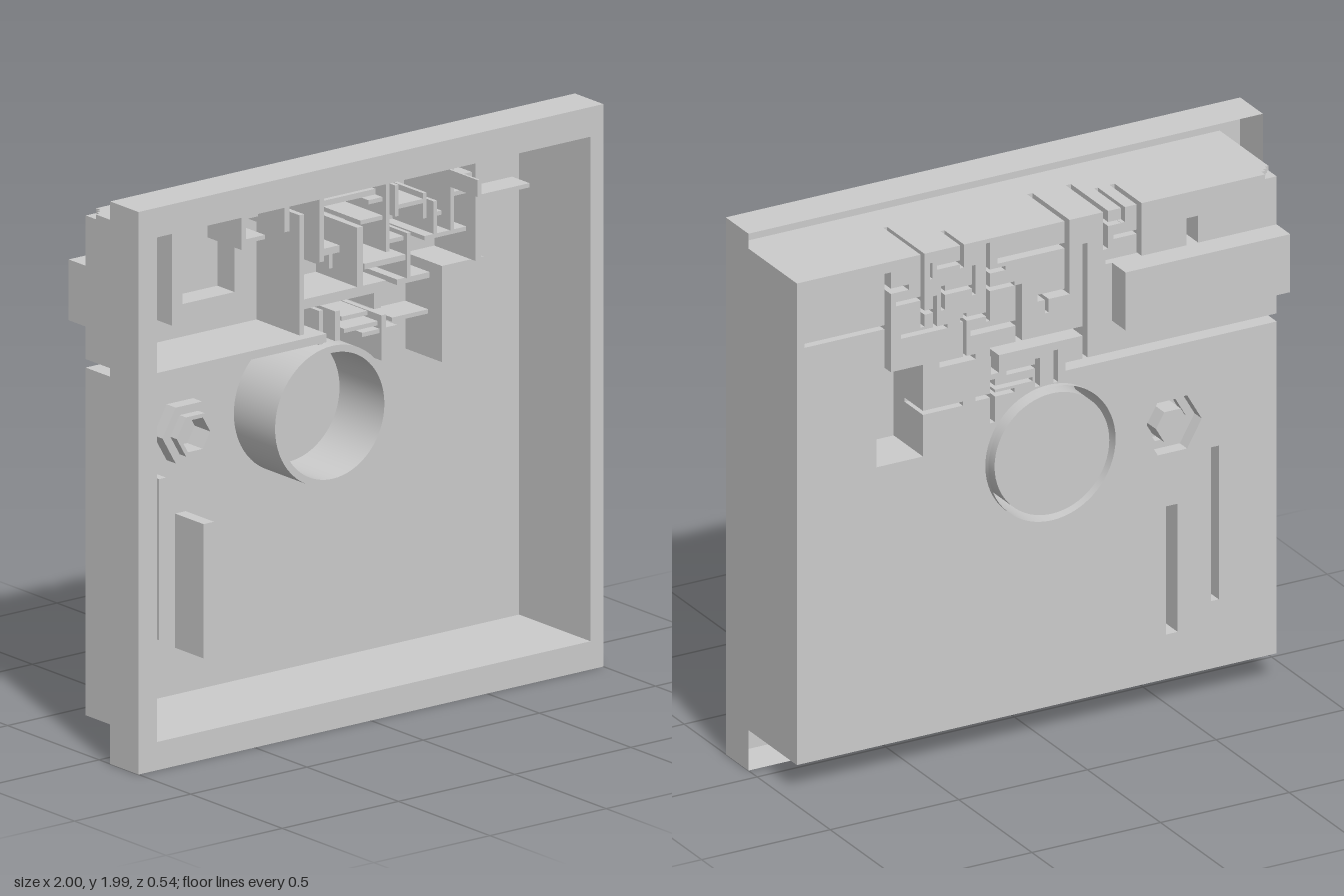
import * as THREE from 'three';

const MAT = new THREE.MeshStandardMaterial({ color: 0xcccccc, side: THREE.DoubleSide });
const X0 = -0.92, X1 = 0.945, Y0 = 0.1, Y1 = 1.885;   // tray outline
const BACK = -0.175, FRONT = 0.215, RIM_BACK = 0.06;
const RING = { x: -0.035, y: 1.045, outer: 0.2475, inner: 0.223, half: 0.25 };
const HEX = { x: -0.515, y: 1.035, half: 0.12 };

// Channels pressed out of the back plate, each reaching depth z
const channels = [];
const press = (x0, x1, y0, y1, z) => channels.push({ x0, x1, y0, y1, z });
const across = (y, x0, x1, z = 0.03, t = 0.015) => press(x0, x1, y - t / 2, y + t / 2, z);
const upright = (x, y0, y1, z = 0.03, t = 0.015) => press(x - t / 2, x + t / 2, y0, y1, z);

function pressShelves() {
  across(1.345, X0, -0.1, 0.1, 0.03);
  across(1.4625, -0.165, 0.195, 0.05, 0.035);
  across(1.795, -0.095, 0.165, 0.03, 0.02);
  across(1.6225, -0.095, 0.01, 0.03, 0.025);
  upright(-0.175, 1.36, 1.785, 0.06, 0.02);
  upright(-0.105, 1.61, Y1, 0.08, 0.02);
  upright(-0.0265, 1.56, 1.61);
  upright(0.175, 1.38, 1.445, 0.03, 0.03);
}

function pressLeftCluster() {
  upright(-0.385, 1.69, Y1, 0.01, 0.02);
  upright(-0.3225, 1.83, Y1, 0.01);
  upright(-0.255, 1.745, Y1, 0.08, 0.02);
  across(1.6975, -0.375, -0.255, -0.04);
  across(1.784, -0.375, -0.285, -0.04);
  across(1.8365, -0.315, -0.265, -0.04);
}

function pressRightCluster() {
  upright(0.0825, 1.48, 1.69, 0.05, 0.025);
  upright(0.2025, 1.58, 1.87, 0.05);
  upright(0.2575, 1.69, 1.8);
  upright(0.2925, 1.47, 1.63, 0.05);
  upright(0.3025, 1.8, Y1, -0.04);
  upright(0.3775, 1.66, 1.75);
  upright(0.4075, 1.6, 1.72, 0.05);
  upright(0.422, 1.785, 1.845, 0.268, 0.01);
  upright(0.4565, 1.615, Y1, 0.08);
  upright(0.5925, 1.475, 1.845, 0.05, 0.025);
  across(1.46, 0.25, 0.39, 0.04, 0.02);
  across(1.55, 0.095, 0.27, 0.06, 0.02);
  across(1.5975, 0.36, 0.54, 0.05);
  across(1.6075, 0.21, 0.31);
  across(1.6475, 0.605, 0.915, -0.08);
  across(1.6665, 0.415, 0.45);
  across(1.6975, 0.1, 0.195);
  across(1.7225, 0.265, 0.385);
  across(1.7225, 0.463, 0.56);
  across(1.7625, 0.135, 0.195);
  across(1.775, 0.51, 0.58, 0.03, 0.02);
  across(1.8225, 0.31, 0.4);
}

// Fingers standing round the top of the collar
function pressFingers() {
  upright(-0.061, 1.295, 1.415, 0.02, 0.018);
  upright(0.01, 1.295, 1.4, 0.02, 0.02);
  upright(0.185, 1.2, 1.36, 0.05, 0.02);
  across(1.3025, 0.1, 0.25, 0.04);
  across(1.3275, 0.03, 0.175);
  across(1.3725, 0.02, 0.13);
  across(1.2965, 0.3, 0.455, -0.05);
}

function pressPockets() {
  press(X0, -0.28, 1.475, 1.69, -0.268);                            // box pocket, pressed backward
  press(0.455, 0.635, 1.135, 1.475, 0.025);                         // tall recess
  upright(-0.68, 0.35, 0.92, -0.06, 0.03);                          // lower slats
  upright(-0.5125, 0.265, 0.74, -0.02, 0.045);
  upright(-0.5925, 1.69, 1.79, -0.09, 0.045);                       // bridge bar ends
  upright(-0.5925, 1.44, 1.475, -0.09, 0.045);
  for (let i = 0; i < 3; i++) {                                     // stepped corner notch
    press(X0 + i * 0.015, X0 + (i + 1) * 0.015, 1.868, Y1, -0.12 - i * 0.015);
  }
}

function add(parent, name, geometry, z = 0) {
  const mesh = new THREE.Mesh(geometry, MAT);
  mesh.name = name;
  mesh.position.z = z;
  parent.add(mesh);
  return mesh;
}

const inSquare = (x, y, s) => Math.abs(x - s.x) < s.half && Math.abs(y - s.y) < s.half;

// Stepped sheet: one level per grid cell, with walls wherever the level changes
function steppedTray() {
  const gridLines = (axis, lo, hi) => {
    const values = [lo, hi];
    for (const c of channels) values.push(c[axis + '0'], c[axis + '1']);
    for (const s of [RING, HEX]) values.push(s[axis] - s.half, s[axis] + s.half);
    return [...new Set(values.map(v => +v.toFixed(4)))].sort((p, q) => p - q);
  };
  const xs = gridLines('x', X0, X1), ys = gridLines('y', Y0, Y1);
  const level = (i, j) => {
    if (i < 0 || j < 0 || i >= xs.length - 1 || j >= ys.length - 1) return FRONT;
    const x = (xs[i] + xs[i + 1]) / 2, y = (ys[j] + ys[j + 1]) / 2;
    const hits = channels.filter(c => x > c.x0 && x < c.x1 && y > c.y0 && y < c.y1);
    return hits.length ? Math.max(...hits.map(c => c.z)) : BACK;
  };
  const pos = [];
  const quad = (a, b, c, d) => pos.push(...a, ...b, ...c, ...a, ...c, ...d);
  for (let i = 0; i < xs.length; i++) {
    for (let j = 0; j < ys.length; j++) {
      const x = xs[i], y = ys[j], xe = xs[i + 1], ye = ys[j + 1];
      const z = level(i, j), zl = level(i - 1, j), zd = level(i, j - 1);
      if (ye !== undefined && z !== zl) quad([x, y, z], [x, ye, z], [x, ye, zl], [x, y, zl]);
      if (xe !== undefined && z !== zd) quad([x, y, z], [xe, y, z], [xe, y, zd], [x, y, zd]);
      if (xe === undefined || ye === undefined) continue;
      const mx = (x + xe) / 2, my = (y + ye) / 2;
      if (z === BACK && (inSquare(mx, my, RING) || inSquare(mx, my, HEX))) continue;
      quad([x, y, z], [xe, y, z], [xe, ye, z], [x, ye, z]);
    }
  }
  const g = new THREE.BufferGeometry();
  g.setAttribute('position', new THREE.Float32BufferAttribute(pos, 3));
  g.computeVertexNormals();
  return g;
}

const corners = points => points.map(p => new THREE.Vector2(...p));
const rect = (x0, x1, y0, y1) => corners([[x0, y0], [x1, y0], [x1, y1], [x0, y1]]);
const polygon = (s, r, n) => Array.from({ length: n }, (_, i) => {
  const a = i / n * Math.PI * 2;
  return new THREE.Vector2(s.x + r * Math.cos(a), s.y + r * Math.sin(a));
});

// Flat sheet with an optional hole
function sheet(points, hole) {
  const shape = new THREE.Shape(points);
  if (hole) shape.holes.push(new THREE.Path(hole));
  return new THREE.ShapeGeometry(shape);
}

// Open prism wall between two depths, faceted when it has few sides
function wall(parent, name, s, r, n, za, zb) {
  let g = new THREE.CylinderGeometry(r, r, Math.abs(zb - za), n, 1, true);
  g.rotateX(Math.PI / 2).rotateZ(Math.PI / 2);
  if (n < 12) {
    g = g.toNonIndexed();
    g.computeVertexNormals();
  }
  add(parent, name, g).position.set(s.x, s.y, (za + zb) / 2);
}

function group(parent, name) {
  const g = new THREE.Group();
  g.name = name;
  parent.add(g);
  return g;
}

export function createModel() {
  const model = new THREE.Group();
  model.name = 'panelTray';
  channels.length = 0;
  for (const part of [pressShelves, pressLeftCluster, pressRightCluster, pressFingers, pressPockets]) part();
  add(model, 'channelledTray', steppedTray());

  // Front rim, open at the back
  add(model, 'rimFace', sheet(rect(-1, 1, 0, 1.99), rect(X0, X1, Y0, Y1)), FRONT);
  const depth = FRONT - RIM_BACK, zMid = (FRONT + RIM_BACK) / 2;
  for (const s of [-1, 1]) {
    const side = add(model, 'rimSide', new THREE.PlaneGeometry(depth, 1.99));
    side.position.set(s, 0.995, zMid);
    side.rotation.y = s * Math.PI / 2;
    const edge = add(model, 'rimEdge', new THREE.PlaneGeometry(2, depth));
    edge.position.set(0, 0.995 + s * 0.995, zMid);
    edge.rotation.x = -s * Math.PI / 2;
  }

  // Circular collar: double wall capped in front, raised behind
  const collar = group(model, 'circularCollar');
  const h = RING.half, top = RING.y + h;
  const surround = rect(RING.x - h, RING.x + h, RING.y - h, top);
  surround.splice(3, 0, ...corners([[0.195, top], [0.195, 1.2], [0.175, 1.2], [0.175, top]]));
  const outer = polygon(RING, RING.outer, 64), inner = polygon(RING, RING.inner, 64);
  add(collar, 'collarSurround', sheet(surround, outer), BACK);
  add(collar, 'collarCap', sheet(outer, inner), 0.05);
  add(collar, 'collarFloor', sheet(inner), -0.195);
  wall(collar, 'collarOuterWall', RING, RING.outer, 64, -0.195, 0.05);
  wall(collar, 'collarInnerWall', RING, RING.inner, 64, -0.195, 0.05);

  // Stepped hexagonal boss
  const boss = group(model, 'hexagonBoss');
  const k = HEX.half;
  add(boss, 'hexSurround', sheet(rect(HEX.x - k, HEX.x + k, HEX.y - k, HEX.y + k), polygon(HEX, 0.114, 6)), BACK);
  const steps = [{ r: 0.114, z: -0.125 }, { r: 0.08, z: -0.09 }, { r: 0.064, z: BACK }];
  steps.forEach(({ r, z }, i) => {
    const next = steps[i + 1];
    wall(boss, 'hexWall', HEX, r, 6, i ? steps[i - 1].z : BACK, z);
    add(boss, 'hexStep', sheet(polygon(HEX, r, 6), next && polygon(HEX, next.r, 6)), z);
  });

  // Bar bridging the box pocket
  const bar = add(model, 'bridgeBar', new THREE.BoxGeometry(0.045, 0.215, 0.085));
  bar.position.set(-0.5925, 1.5825, -0.1325);
  return model;
}
